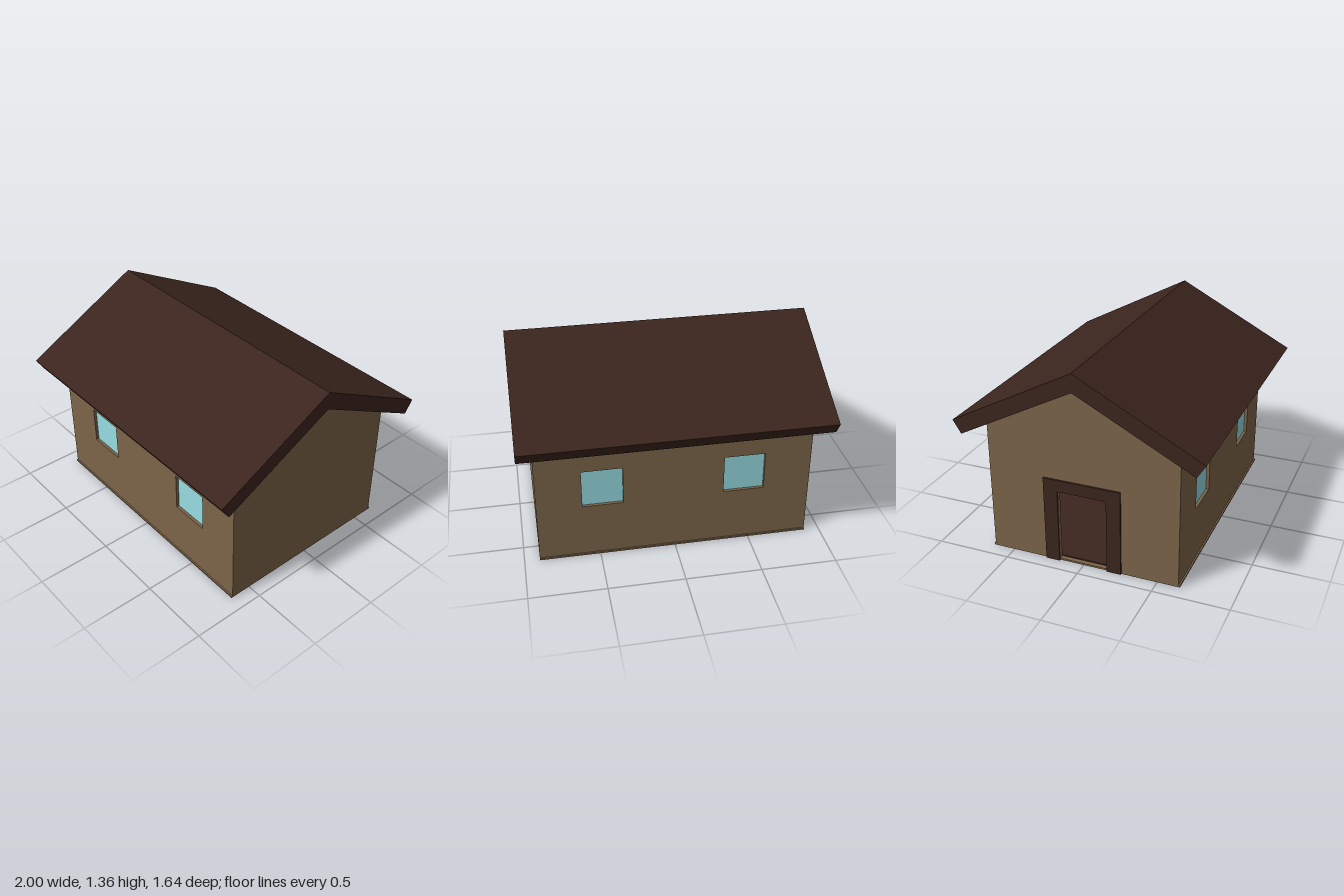
import * as THREE from 'three';

const wallMat = new THREE.MeshStandardMaterial({ color: 0x7d654a });
const roofMat = new THREE.MeshStandardMaterial({ color: 0x3c251e });
const glassMat = new THREE.MeshStandardMaterial({ color: 0x97dce2 });

const HALF_X = 0.9, HALF_Z = 0.64, THICK = 0.03, BASE = 0.012;
const EAVE = 0.905, RIDGE = 1.24;

const shapeOf = (pts) => new THREE.Shape(pts.map(([x, y]) => new THREE.Vector2(x, y)));
const rect = (x0, x1, y0, y1) => [[x0, y0], [x1, y0], [x1, y1], [x0, y1]];
const extrude = (shape, depth) => new THREE.ExtrudeGeometry(shape, { depth, bevelEnabled: false });

function add(group, name, geometry, material, x = 0, y = 0, z = 0) {
  const mesh = new THREE.Mesh(geometry, material);
  mesh.name = name;
  mesh.position.set(x, y, z);
  group.add(mesh);
  return mesh;
}

// Extrudes a (z, y) profile along x, starting at x0
function extrudeX(shape, x0, x1) {
  return extrude(shape, x1 - x0).rotateY(Math.PI / 2).translate(x0, 0, 0);
}

export function createModel() {
  const house = new THREE.Group();
  house.name = 'house';

  // Base slab and inner floor
  add(house, 'baseSlab', new THREE.BoxGeometry(2 * HALF_X, BASE, 1.3), wallMat, 0, BASE / 2, 0);
  add(house, 'floor', new THREE.BoxGeometry(1.74, 0.008, 1.22), roofMat, 0, BASE + 0.004, 0);

  // Long walls with two recessed windows each
  const windows = [[-0.59, -0.32], [0.34, 0.605]];
  const sill = 0.385, head = 0.65;
  for (const side of [1, -1]) {
    const where = side > 0 ? 'front' : 'back';
    const wall = shapeOf(rect(-HALF_X, HALF_X, BASE, EAVE));
    for (const [a, b] of windows) wall.holes.push(shapeOf(rect(a, b, sill, head)));
    const z0 = side > 0 ? HALF_Z - THICK : -HALF_Z;
    add(house, where + 'Wall', extrude(wall, THICK), wallMat, 0, 0, z0);
    for (const [a, b] of windows) {
      add(house, where + 'Window', new THREE.BoxGeometry(b - a, head - sill, 0.01), glassMat,
        (a + b) / 2, (sill + head) / 2, side * (HALF_Z - 0.025));
    }
  }

  // Gable walls; the one at -x has the doorway
  const inner = HALF_Z - THICK;
  const gablePts = [[-inner, BASE], [inner, BASE], [inner, 0.92], [0, RIDGE], [-inner, 0.92]];
  add(house, 'leftGable', extrudeX(shapeOf(gablePts), HALF_X - THICK, HALF_X), wallMat);
  const doorW = 0.165, doorH = 0.51;
  const doorGable = shapeOf([
    [-inner, BASE], [-doorW, BASE], [-doorW, doorH], [doorW, doorH], [doorW, BASE],
    ...gablePts.slice(1),
  ]);
  add(house, 'rightGable', extrudeX(doorGable, -HALF_X, -HALF_X + THICK), wallMat);

  // Door frame
  const frame = shapeOf([
    [-0.26, 0], [-doorW, 0], [-doorW, doorH], [doorW, doorH], [doorW, 0],
    [0.26, 0], [0.26, 0.59], [-0.26, 0.59],
  ]);
  add(house, 'doorFrame', extrudeX(frame, -HALF_X - 0.012, -HALF_X + 0.005), roofMat);

  // Pitched roof with square-cut eaves
  const roof = shapeOf([
    [0, 1.36], [-0.82, 0.93], [-0.765, 0.843], [0, RIDGE], [0.765, 0.843], [0.82, 0.93],
  ]);
  add(house, 'roof', extrudeX(roof, -1, 1), roofMat);

  return house;
}
